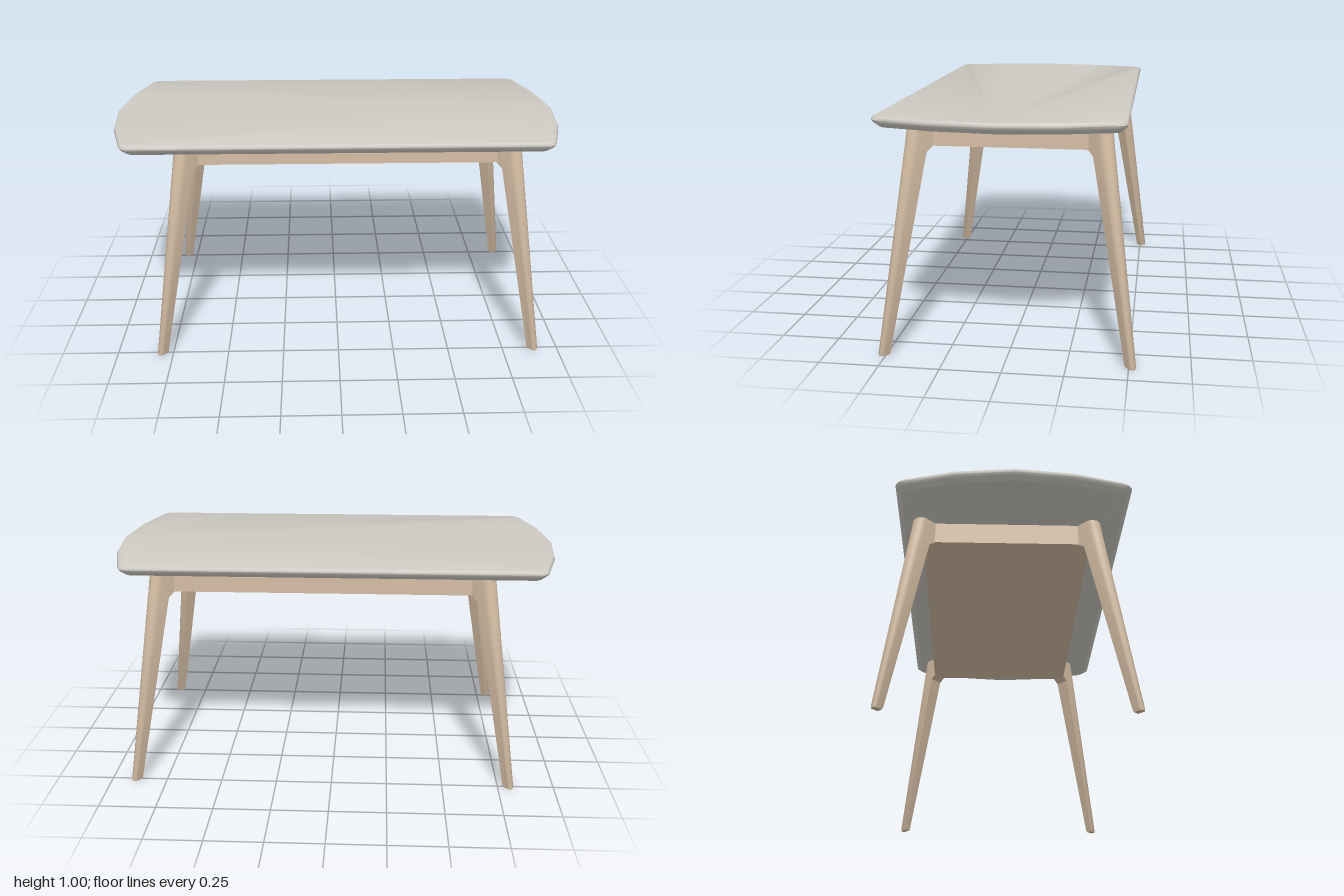
import * as THREE from 'three';
import { toCreasedNormals } from 'three/addons/utils/BufferGeometryUtils.js';

// Closed solid through a stack of convex rings, listed bottom to top
function loft(rings, crease) {
  const n = rings[0].length, last = (rings.length - 1) * n, index = [];
  for (let i = 0; i < rings.length - 1; i++) {
    for (let j = 0; j < n; j++) {
      const k = (j + 1) % n, a = i * n, b = a + n;
      index.push(a + j, a + k, b + k, a + j, b + k, b + j);
    }
  }
  for (let j = 1; j < n - 1; j++) {
    index.push(0, j + 1, j, last, last + j, last + j + 1);
  }
  const geometry = new THREE.BufferGeometry();
  geometry.setAttribute('position', new THREE.Float32BufferAttribute(rings.flat(2), 3));
  geometry.setIndex(index);
  return toCreasedNormals(geometry, crease);
}

// Tabletop: straight long sides, bowed ends, rounded rim
function topGeometry() {
  const quarter = [[1, 0], [0.974, 0.25], [0.917, 0.462], [0.905, 0.487], [0.885, 0.5]];
  const back = quarter.map(([x, z]) => [x, -z]);
  const left = [...quarter].reverse().map(([x, z]) => [-x, -z]);
  const front = quarter.slice(1).map(([x, z]) => [-x, z]);
  const right = quarter.slice(1).reverse();
  const outline = [...back, ...left, ...front, ...right];
  const rim = [[0.026, 0.955], [0.018, 0.963], [0.009, 0.971], [0.002, 0.98],
    [0, 0.986], [0.003, 0.996], [0.007, 1]];
  return loft(rim.map(([inset, y]) =>
    outline.map(([x, z]) => [x * (1 - inset), y, z * (1 - 2 * inset)])), 0.7);
}

// Leg: splayed along the diagonal, rounded outside, flat flanks and inner side
function legGeometry(sx, sz) {
  // height, outer reach, inner reach, half thickness
  const sections = [
    [0, 0.528, 0.487, 0.013],
    [0.008, 0.53, 0.483, 0.016],
    [0.836, 0.427, 0.336, 0.034],
    [0.858, 0.424, 0.313, 0.0345],
    [0.957, 0.412, 0.313, 0.036],
  ];
  const r = Math.SQRT1_2, steps = 10;
  return loft(sections.map(([y, outer, inner, b]) => {
    const centre = (outer - b) / r, flat = inner / r + b;
    const points = [];
    for (let i = 0; i <= steps; i++) {
      const a = Math.PI * (i / steps - 0.5);
      points.push([centre + b * Math.cos(a), b * Math.sin(a)]);
    }
    points.push([flat, b], [flat, -b]);
    return points.map(([u, v]) =>
      [sx * 0.334 + r * (sx * u + sz * v), y, r * (sz * u - sx * v)]);
  }), 0.5);
}

export function createModel() {
  const stone = new THREE.MeshStandardMaterial({ color: 0xcdcac2 });
  stone.name = 'warm grey top';
  const wood = new THREE.MeshStandardMaterial({ color: 0xd5bea4 });
  wood.name = 'pale wood';

  const table = new THREE.Group();
  table.name = 'table';
  const add = (parent, name, geometry, material) => {
    const mesh = new THREE.Mesh(geometry, material);
    mesh.name = name;
    parent.add(mesh);
    return mesh;
  };

  add(table, 'tableTop', topGeometry(), stone).position.z = 0.024;

  // Base sits slightly off the tabletop's centre
  const base = new THREE.Group();
  base.name = 'base';
  base.position.x = 0.045;
  table.add(base);

  add(base, 'apron', new THREE.BoxGeometry(1.398, 0.099, 0.73), wood).position.y = 0.9075;

  for (const sx of [-1, 1]) {
    for (const sz of [-1, 1]) {
      const name = (sz > 0 ? 'front' : 'back') + (sx > 0 ? 'Left' : 'Right') + 'Leg';
      add(base, name, legGeometry(sx, sz), wood);
    }
  }
  return table;
}
